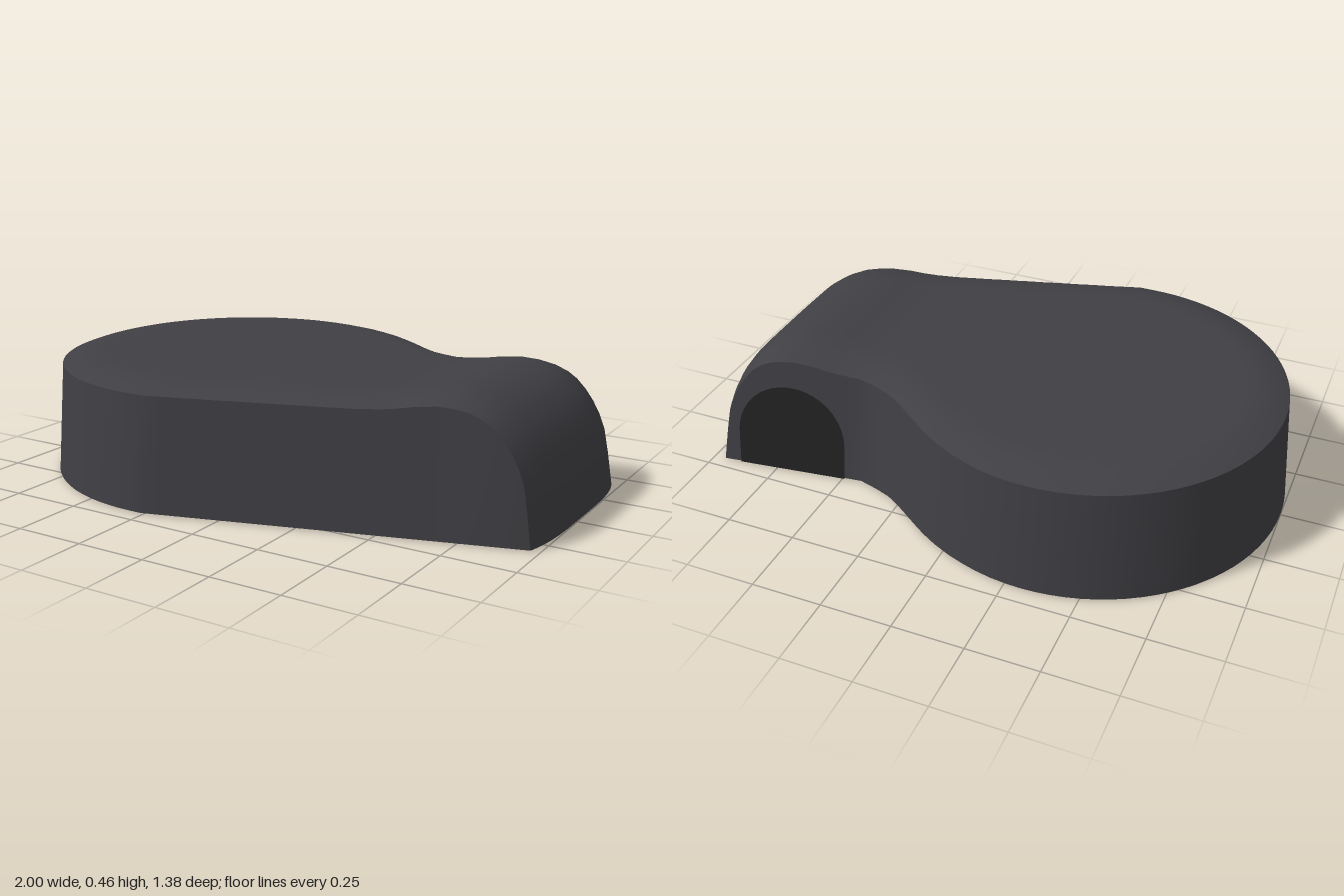
import * as THREE from 'three';

const CX = -0.31, R = 0.69, FLARE = 0.075;
const mat = (name, color, side = THREE.FrontSide) => {
  const m = new THREE.MeshStandardMaterial({ color, side });
  m.name = name;
  return m;
};

// Piecewise smooth lookup through [x, y] points
const curve = (pts) => (x) => {
  if (x <= pts[0][0]) return pts[0][1];
  for (let i = 1; i < pts.length; i++) {
    if (x > pts[i][0]) continue;
    const p = (k) => pts[Math.min(Math.max(k, 0), pts.length - 1)];
    const slope = (k) => (p(k + 1)[1] - p(k - 1)[1]) / (p(k + 1)[0] - p(k - 1)[0]);
    const [x0, y0] = p(i - 1), [x1, y1] = p(i), h = x1 - x0, t = (x - x0) / h;
    return y0 * (1 + 2 * t) * (1 - t) ** 2 + y1 * t * t * (3 - 2 * t)
      + h * (slope(i - 1) * t * (1 - t) ** 2 - slope(i) * t * t * (1 - t));
  }
  return pts[pts.length - 1][1];
};

// Base outline: round left part, straight front, waisted back
const frontBase = (x) => (x < -0.26 ? 0.69 : 0.69 - 0.2967 * (x + 0.26));
const neck = curve([[-0.09, -0.654], [0, -0.62], [0.1, -0.565], [0.2, -0.495], [0.3, -0.43], [0.43, -0.388]]);
const backBase = (x) => {
  if (x < -0.09) return -Math.sqrt(R * R - (x - CX) ** 2);
  return x < 0.43 ? neck(x) : -0.388 - (x - 0.43) * 0.129;
};
const backFlare = (x) => THREE.MathUtils.lerp(FLARE, 0.135, THREE.MathUtils.smoothstep(x, -0.2, 0.4));

// Crest of the top from the round part over the hump and down the right end
const PROFILE = [[-0.26, 0.43], [-0.2, 0.43], [-0.14, 0.43], [-0.09, 0.431], [-0.03, 0.431], [0.04, 0.432],
  [0.1, 0.432], [0.15, 0.433], [0.2, 0.433], [0.25, 0.434], [0.3, 0.434], [0.36, 0.435], [0.43, 0.436],
  [0.5, 0.44], [0.55, 0.446], [0.6, 0.455], [0.67, 0.461], [0.72, 0.457], [0.77, 0.445], [0.82, 0.422],
  [0.86, 0.395], [0.9, 0.355], [0.93, 0.314], [0.955, 0.265], [0.972, 0.215], [0.985, 0.13], [1, 0]];

// Stations along the body, each with rim and base points for front and back
function makeStations() {
  const list = [], n = 22;
  for (let i = 0; i <= n; i++) {
    const a = Math.PI - (i / n) * Math.PI / 2, c = Math.cos(a), s = Math.sin(a), r = R - 0.03;
    const side = (k) => ({ rim: [CX + r * c, 0.396, k * r * s], base: [CX + R * c, 0, k * R * s] });
    list.push({ crest: 0.43, drop: 0.034, x: CX + r * c, round: true, front: side(1), back: side(-1) });
  }
  for (const [x, y] of PROFILE) {
    const end = THREE.MathUtils.smoothstep(x, 0.7, 0.97);
    const drop = Math.min(0.034 * (1 - 0.6 * end), y * 0.1);
    const xf = x - 0.03 * end, xb = x - 0.045 * end, h = y - drop;
    list.push({
      x, crest: y, drop,
      front: { rim: [xf, h, frontBase(xf) - FLARE * h * (1 - 0.6 * end)], base: [xf, 0, frontBase(xf)] },
      back: { rim: [xb, h, backBase(xb) + backFlare(xb) * h], base: [xb, 0, backBase(xb)] },
    });
  }
  return list;
}

// Surface through rows of points
function loft(rows) {
  const w = rows[0].length, index = [];
  for (let i = 0; i < rows.length - 1; i++) {
    for (let j = 0; j < w - 1; j++) {
      const a = i * w + j, b = a + 1, c = a + w, d = c + 1;
      index.push(a, b, c, b, d, c);
    }
  }
  const g = new THREE.BufferGeometry();
  g.setAttribute('position', new THREE.Float32BufferAttribute(rows.flat(2), 3));
  g.setIndex(index);
  g.computeVertexNormals();
  return g;
}

// One row across the top, softly dropping towards the rim
function topRow(s) {
  const row = [], n = 32;
  const zb = s.back.rim[2], zf = s.front.rim[2];
  for (let j = 0; j <= n; j++) {
    const t = -Math.cos((j / n) * Math.PI);
    const z = zb + (zf - zb) * (t + 1) / 2;
    const dist = s.round ? R - 0.03 - Math.hypot(s.x - CX, z) : Math.min(zf - z, z - zb);
    const y = s.crest - s.drop * (1 - Math.min(1, Math.max(0, dist) / 0.14)) ** 1.7;
    const corner = t < 0 ? s.back.rim[0] : s.front.rim[0];
    row.push([s.x + (corner - s.x) * t ** 4, y, z]);
  }
  return row;
}

export function createModel() {
  const group = new THREE.Group();
  const shell = mat('charcoal shell', 0x403f44, THREE.DoubleSide);
  const under = mat('black underside', 0x171717);
  const recess = mat('dark opening', 0x222222, THREE.DoubleSide);
  const stud = mat('grey studs', 0x2b2b2b);
  const lens = mat('green lens', 0x06351f);
  const add = (name, geometry, material) => {
    const m = new THREE.Mesh(geometry, material);
    m.name = name;
    group.add(m);
    return m;
  };
  const stations = makeStations();

  // Top cover running over the hump and down the right end
  const top = stations.map(topRow);
  add('topCover', loft(top.map((r) => [...r])), shell);

  // Side wall, one continuous strip from back corner round to front corner
  const ring = [...stations.slice(1).reverse().map((s) => s.back), ...stations.map((s) => s.front)];
  add('sideWall', loft(ring.map((p) => [p.rim, p.base])), shell);

  // Flat underside
  const outline = [...ring.map((p) => p.base), ...top[top.length - 1].slice(1, -1).reverse()];
  const base = new THREE.ShapeGeometry(new THREE.Shape(outline.map((p) => new THREE.Vector2(p[0], p[2]))));
  base.rotateX(Math.PI / 2);
  add('underside', base, under);

  // Arched opening on the back wall
  const arch = [];
  for (let i = 0; i <= 28; i++) {
    const u = -Math.cos((i / 28) * Math.PI), x = 0.69 + 0.2 * u;
    const h = 0.13 + 0.2 * Math.sqrt(Math.max(0, 1 - u * u));
    const col = [];
    for (let j = 0; j <= 6; j++) {
      const y = h * j / 6;
      col.push([x, y, backBase(x) + backFlare(x) * y - 0.005]);
    }
    arch.push(col);
  }
  add('archOpening', loft(arch.reverse()), recess);

  // Round details under the base
  const disc = (name, x, z, r, material, seg) => {
    const g = new THREE.CircleGeometry(r, seg);
    g.rotateX(Math.PI / 2);
    add(name, g, material).position.set(x, -0.003, z);
  };
  disc('lens', CX, 0, 0.122, lens, 40);
  for (let i = 0; i < 12; i++) {
    const a = (i / 12) * Math.PI * 2;
    disc('ringStud', CX + 0.205 * Math.cos(a), 0.205 * Math.sin(a), 0.023, stud, 16);
  }
  for (const z of [0.255, -0.265]) disc('screw', 0.577, z, 0.015, stud, 12);
  return group;
}
